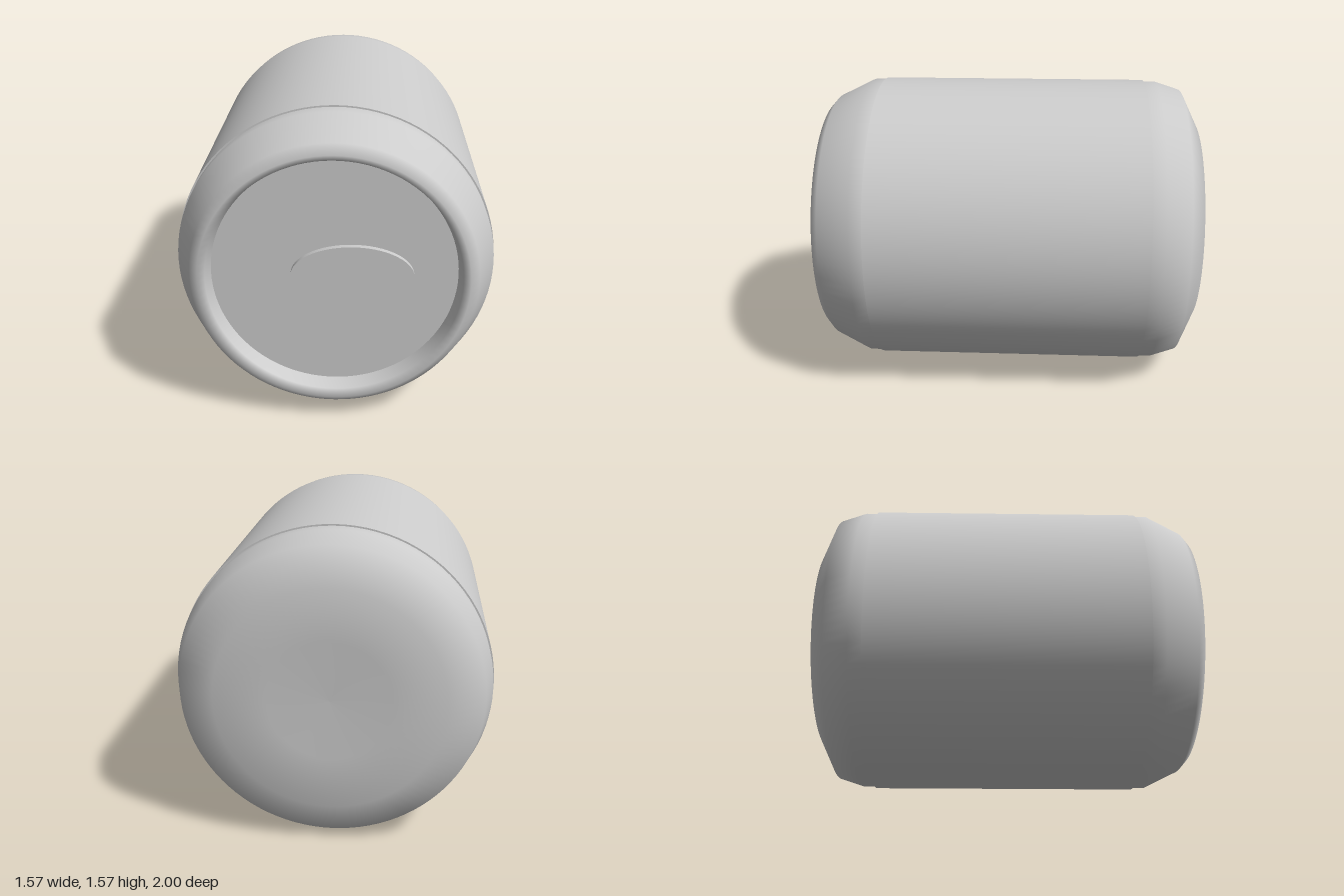
import * as THREE from 'three';

const SEGMENTS = 96;
const RADIUS = 0.785;

export function createModel() {
  const group = new THREE.Group();
  const grey = new THREE.MeshStandardMaterial({ color: 0xcccccc });
  grey.name = 'plain grey';

  function add(name, geometry, x = 0, z = 0) {
    const mesh = new THREE.Mesh(geometry, grey);
    mesh.name = name;
    mesh.position.set(x, RADIUS, z);
    group.add(mesh);
    return mesh;
  }

  // Turned part around the z axis; profile is [radius, z] from back to front
  const turned = (profile) => new THREE.LatheGeometry(
    profile.map(([r, z]) => new THREE.Vector2(r, z)), SEGMENTS).rotateX(Math.PI / 2);

  // Straight drum between the two end caps
  add('body', new THREE.CylinderGeometry(RADIUS, RADIUS, 1.42, SEGMENTS).rotateX(Math.PI / 2));

  // Closed rounded end with a slight dimple
  add('backCap', turned([
    [0, -0.985], [0.3, -0.992], [0.555, -1], [0.735, -0.91], [0.777, -0.78], [0.777, -0.7],
  ]));

  // Rounded front ring, turning inward to the recessed lid
  add('frontRim', turned([
    [0.777, 0.7], [0.777, 0.78], [0.69, 0.96], [0.645, 1], [0.612, 0.975], [0.595, 0.9],
  ]));

  // Recessed lid
  add('lid', new THREE.CircleGeometry(0.597, SEGMENTS), 0, 0.9);

  // Raised oval tab on the lid
  const tab = new THREE.CylinderGeometry(1, 1, 0.03, 64).rotateX(Math.PI / 2);
  tab.scale(0.297, 0.158, 1);
  add('tab', tab, 0.087, 0.912);

  return group;
}
